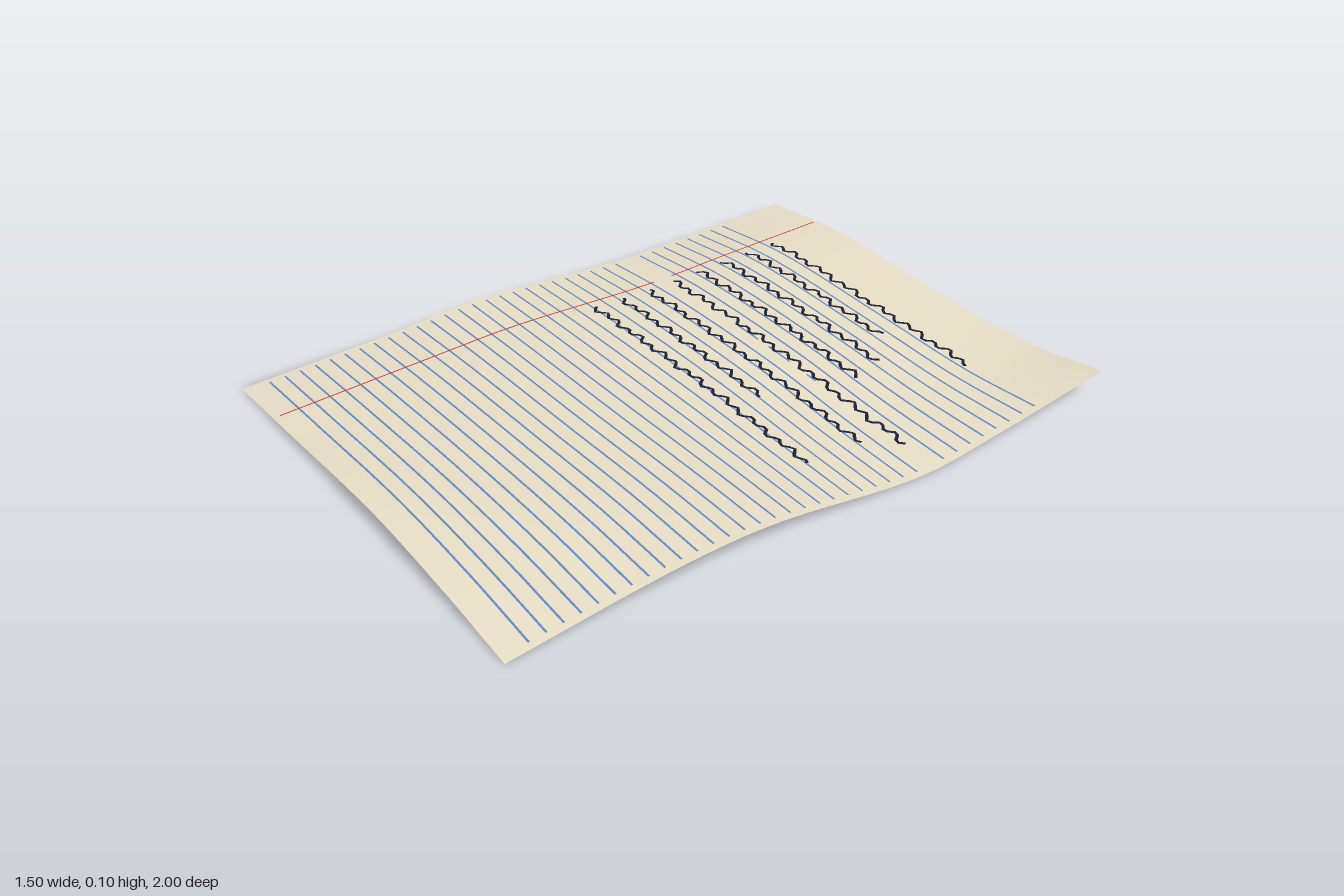
import * as THREE from 'three';

const material = (name, color) => {
  const m = new THREE.MeshStandardMaterial({ color, side: THREE.DoubleSide });
  m.name = name;
  return m;
};

// Heights of the warped sheet on a coarse grid: one row per z, one column per x
const XS = [-0.75, -0.4, 0.08, 0.45, 0.75];
const ZS = [-1, -0.6, -0.3, 0.2, 0.5, 1];
const HEIGHTS = [
  [0.050, 0.078, 0.060, 0.056, 0.098],
  [0.033, 0.065, 0.055, 0.037, 0.037],
  [0.027, 0.050, 0.047, 0.021, 0.008],
  [0.048, 0.055, 0.059, 0.064, 0.063],
  [0.026, 0.046, 0.060, 0.067, 0.058],
  [0.001, 0.021, 0.047, 0.031, 0.001],
];

// Smooth curve through unevenly spaced values
function smooth(ts, vs, t) {
  const n = ts.length;
  let i = 0;
  while (i < n - 2 && t > ts[i + 1]) i++;
  const slope = (k) => {
    const a = Math.max(k - 1, 0), b = Math.min(k + 1, n - 1);
    return (vs[b] - vs[a]) / (ts[b] - ts[a]);
  };
  const d = ts[i + 1] - ts[i], u = (t - ts[i]) / d, u2 = u * u, u3 = u2 * u;
  return vs[i] * (2 * u3 - 3 * u2 + 1) + vs[i + 1] * (3 * u2 - 2 * u3)
    + d * (slope(i) * (u3 - 2 * u2 + u) + slope(i + 1) * (u3 - u2));
}

const height = (x, z) => smooth(ZS, HEIGHTS.map((row) => smooth(XS, row, x)), z);

// Flat strip that follows the sheet along a path of [x, z] points
function ribbon(path, width, lift) {
  const pos = [], index = [];
  path.forEach(([x, z], i) => {
    const a = path[Math.max(i - 1, 0)], b = path[Math.min(i + 1, path.length - 1)];
    const dx = b[0] - a[0], dz = b[1] - a[1], s = width / 2 / Math.hypot(dx, dz);
    for (const side of [-1, 1]) {
      const px = x - side * dz * s, pz = z + side * dx * s;
      pos.push(px, height(px, pz) + lift, pz);
    }
    if (i) {
      const k = 2 * i;
      index.push(k - 2, k - 1, k, k - 1, k + 1, k);
    }
  });
  const g = new THREE.BufferGeometry();
  g.setAttribute('position', new THREE.Float32BufferAttribute(pos, 3));
  g.setIndex(index);
  g.computeVertexNormals();
  return g;
}

// Evenly spaced points between two [x, z] ends
const straight = (a, b, n = 48) => Array.from({ length: n + 1 }, (_, i) => [
  a[0] + (b[0] - a[0]) * i / n, a[1] + (b[1] - a[1]) * i / n]);

export function createModel() {
  const group = new THREE.Group();
  const paper = material('cream paper', 0xf0e6ce);
  const blue = material('blue rule', 0x6488c4);
  const red = material('red margin', 0xc03a3a);
  const ink = material('dark ink', 0x1a2033);

  const add = (name, geometry, mat) => {
    const mesh = new THREE.Mesh(geometry, mat);
    mesh.name = name;
    group.add(mesh);
  };

  // Warped sheet
  const sheet = new THREE.PlaneGeometry(1.5, 2, 60, 80).rotateX(-Math.PI / 2);
  const p = sheet.attributes.position;
  for (let i = 0; i < p.count; i++) p.setY(i, height(p.getX(i), p.getZ(i)));
  sheet.computeVertexNormals();
  add('sheet', sheet, paper);

  // Ruled lines; one is mostly worn away
  for (let i = 0; i < 35; i++) {
    const z = -0.752 + i * 0.0492;
    const spans = i === 8 ? [[-0.13, -0.03], [0.02, 0.12], [0.2, 0.24]] : [[-0.73, 0.73]];
    for (const [x0, x1] of spans) add('ruledLine', ribbon(straight([x0, z], [x1, z]), 0.006, 0.0015), blue);
  }

  // Margin line in two runs
  for (const [z0, z1] of [[-0.985, -0.39], [-0.32, 0.98]]) {
    add('marginLine', ribbon(straight([-0.525, z0], [-0.525, z1]), 0.005, 0.002), red);
  }

  // Rows of zigzag scribble
  const rowEnds = [0.45, 0.17, 0.27, 0.3, 0.62, 0.545, 0.24, 0.56];
  rowEnds.forEach((end, row) => {
    const z = -0.774 + row * 0.1012, path = [];
    for (let x = -0.485, i = 0; x <= end; x += 0.0145, i++) {
      const wave = Math.sin(i * 1.5 + row * 0.7) * 0.011 + Math.sin(i * 0.63 + row) * 0.005;
      path.push([x, z + wave]);
    }
    add('scribbleRow', ribbon(path, 0.01, 0.004), ink);
  });

  return group;
}
